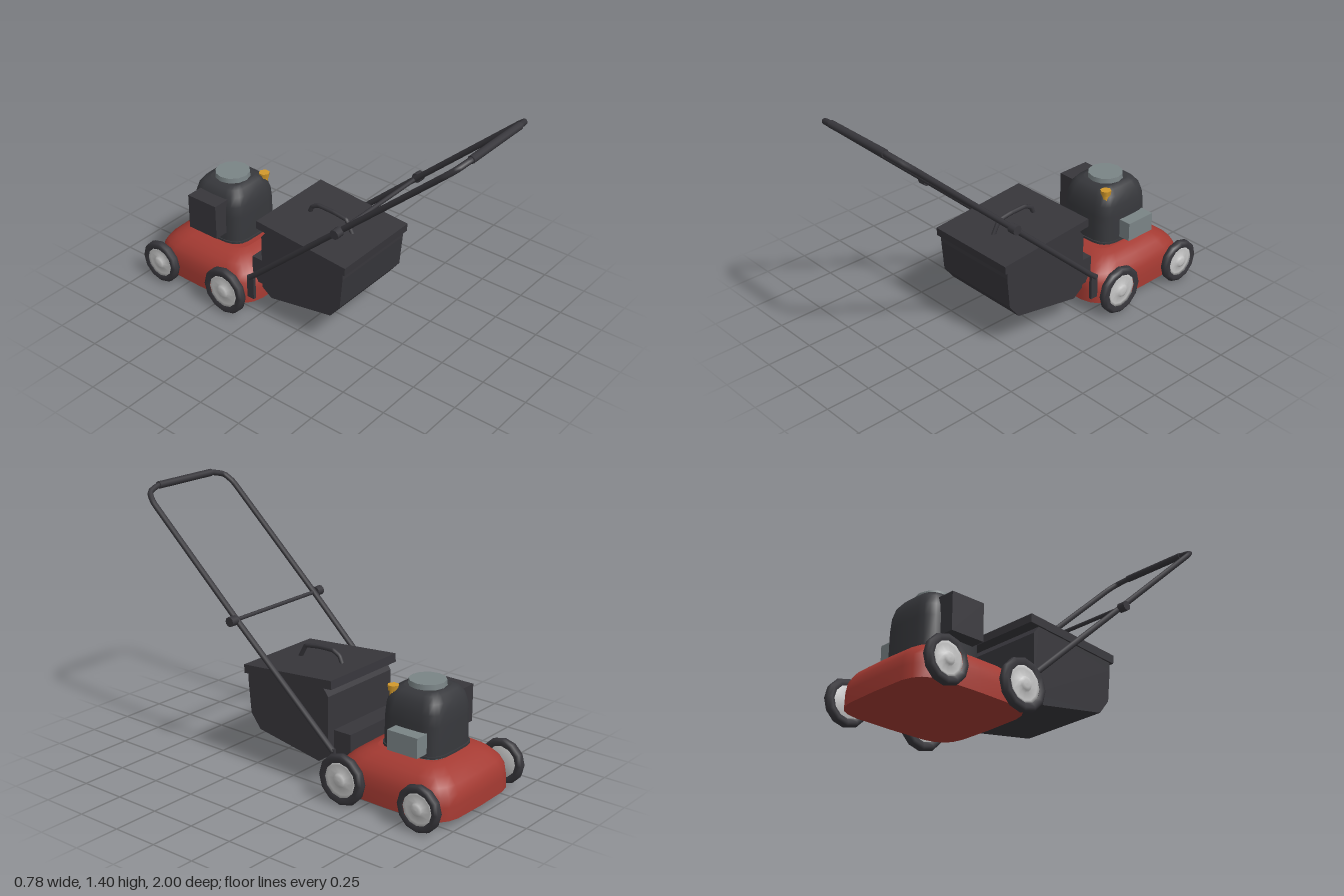
import * as THREE from 'three';

const mat = (name, color) => {
  const m = new THREE.MeshStandardMaterial({ color });
  m.name = name;
  return m;
};

// Loft of rounded-square rings [y, halfX, halfZ], closed at both ends
function loft(rings, power, n = 24) {
  const pos = [], idx = [];
  const addRing = ([y, hx, hz]) => {
    for (let i = 0; i < n; i++) {
      const a = (i / n) * Math.PI * 2;
      const f = (v) => (Math.abs(v) < 1e-6 ? 0 : Math.sign(v) * Math.abs(v) ** (2 / power));
      pos.push(hx * f(Math.cos(a)), y, hz * f(Math.sin(a)));
    }
  };
  rings.forEach(addRing);
  for (let r = 0; r < rings.length - 1; r++) {
    for (let i = 0; i < n; i++) {
      const a = r * n + i, b = r * n + ((i + 1) % n);
      idx.push(a, a + n, b, b, a + n, b + n);
    }
  }
  // end caps use their own vertices so their rims stay sharp
  [[rings[0], false], [rings[rings.length - 1], true]].forEach(([ring, top]) => {
    const s = pos.length / 3;
    addRing(ring);
    pos.push(0, ring[0], 0);
    for (let i = 0; i < n; i++) {
      const a = s + i, b = s + ((i + 1) % n);
      idx.push(s + n, top ? b : a, top ? a : b);
    }
  });
  const g = new THREE.BufferGeometry();
  g.setAttribute('position', new THREE.Float32BufferAttribute(pos, 3));
  g.setIndex(idx);
  g.computeVertexNormals();
  return g;
}

const tube = (points, radius, segments, sides = 8) => new THREE.TubeGeometry(
  new THREE.CatmullRomCurve3(points.map((p) => new THREE.Vector3(...p)), false, 'catmullrom', 0.08),
  segments, radius, sides);

const lathe = (pts, segments) =>
  new THREE.LatheGeometry(pts.map((p) => new THREE.Vector2(...p)), segments);

export function createModel() {
  const root = new THREE.Group();
  root.name = 'lawnMower';
  const red = mat('deckRed', 0xa43a32);
  const black = mat('plasticBlack', 0x37363b);
  const engineBlack = mat('engineBlack', 0x37383c);
  const grey = mat('metalGrey', 0x7a8486);
  const silver = mat('hubSilver', 0xc4c4c4);
  const yellow = mat('capYellow', 0xd2992c);

  const add = (name, geo, material, x = 0, y = 0, z = 0, parent = root) => {
    const m = new THREE.Mesh(geo, material);
    m.name = name;
    m.position.set(x, y, z);
    parent.add(m);
    return m;
  };
  const box = (name, w, h, d, material, x, y, z) =>
    add(name, new THREE.BoxGeometry(w, h, d), material, x, y, z);

  // Cutting deck
  add('deck', loft([
    [0.05, 0.325, 0.352], [0.12, 0.324, 0.35], [0.17, 0.316, 0.343], [0.21, 0.3, 0.318],
    [0.245, 0.268, 0.272], [0.27, 0.225, 0.225], [0.28, 0.18, 0.19],
  ], 5), red, 0, 0, -0.64);

  // Engine
  const ez = -0.655;
  add('enginePlate', loft([[0.265, 0.165, 0.17], [0.292, 0.165, 0.17]], 4), grey, 0, 0, ez);
  add('engineFlange', loft([[0.29, 0.182, 0.184], [0.302, 0.182, 0.184]], 4), engineBlack, 0, 0, ez);
  add('engineCover', loft([
    [0.295, 0.177, 0.177], [0.45, 0.175, 0.175], [0.51, 0.17, 0.17],
    [0.56, 0.155, 0.155], [0.59, 0.13, 0.13], [0.6, 0.1, 0.1],
  ], 4), engineBlack, 0, 0, ez);
  add('starterCap', new THREE.CylinderGeometry(0.095, 0.098, 0.035, 12), grey, 0, 0.61, ez);
  box('muffler', 0.09, 0.105, 0.18, grey, 0.2, 0.368, -0.685);
  box('airFilter', 0.1, 0.2, 0.195, black, -0.2, 0.45, -0.657);
  add('fuelNeck', new THREE.CylinderGeometry(0.02, 0.02, 0.05, 6), yellow, 0.12, 0.56, -0.535);
  add('fuelCap', new THREE.CylinderGeometry(0.031, 0.027, 0.028, 6), yellow, 0.12, 0.588, -0.535);

  // Wheels: a closed tyre ring around a domed hub
  const wheel = (side, z, r) => {
    const g = new THREE.Group();
    g.name = 'wheel';
    g.position.set(side * 0.36, r + 0.006, z);
    g.rotation.z = (-side * Math.PI) / 2;
    const h = r * 0.68;
    add('tyre', lathe([
      [h, -0.018], [r - 0.02, -0.025], [r - 0.005, -0.017], [r, 0],
      [r - 0.005, 0.017], [r - 0.02, 0.025], [h, 0.018],
    ], 12), black, 0, 0, 0, g);
    add('hub', lathe([
      [0, -0.015], [h + 0.002, -0.015], [h + 0.002, 0.014], [h * 0.85, 0.012],
      [h * 0.45, 0.014], [h * 0.36, 0.026], [h * 0.2, 0.03], [0, 0.031],
    ], 12), silver, 0, 0, 0, g);
    add('axle', new THREE.CylinderGeometry(0.015, 0.015, 0.07, 8), black, 0, -0.035, 0, g);
    root.add(g);
  };
  for (const side of [1, -1]) {
    wheel(side, -0.41, 0.137);
    wheel(side, -0.877, 0.124);
  }

  // Discharge chute and grass bag
  box('chute', 0.42, 0.15, 0.11, black, 0, 0.235, -0.287);
  const profile = new THREE.Shape([
    [0.3, 0.52], [0.3, 0.46], [0.283, 0.285], [0.222, 0.207], [-0.175, 0.138],
    [-0.235, 0.182], [-0.235, 0.5], [-0.2, 0.545],
  ].map((p) => new THREE.Vector2(...p)));
  const bag = new THREE.ExtrudeGeometry(profile, { depth: 0.51, bevelEnabled: false });
  bag.translate(0, 0, -0.255);
  bag.rotateY(-Math.PI / 2);
  add('grassBag', bag, black);
  box('bagLid', 0.528, 0.046, 0.582, black, 0, 0.546, 0.03).rotation.x = 0.083;
  add('bagHandle', tube([
    [0, 0.55, 0.165], [0, 0.622, 0.125], [0, 0.635, 0.04], [0, 0.637, -0.055],
    [0, 0.615, -0.1], [0, 0.57, -0.12],
  ], 0.012, 40, 6), black);

  // Push handle: mirrored half path joined into one tube
  const half = [
    [0.288, 0.235, -0.295], [0.306, 0.8, 0.33], [0.306, 1.315, 0.902],
    [0.282, 1.362, 0.955], [0.2, 1.382, 0.975],
  ];
  const mirrored = half.map(([x, y, z]) => [-x, y, z]).reverse();
  add('pushHandle', tube([...half, ...mirrored], 0.0155, 160), black);
  const bar = (name, r, length, x, y, z, sides = 10) => {
    add(name, new THREE.CylinderGeometry(r, r, length, sides), black, x, y, z).rotation.z = Math.PI / 2;
  };
  bar('grip', 0.02, 0.4, 0, 1.382, 0.975);
  bar('crossbar', 0.011, 0.7, 0, 0.798, 0.328, 8);
  for (const side of [1, -1]) {
    bar('knob', 0.026, 0.045, side * 0.338, 0.798, 0.328);
    box('handleBracket', 0.018, 0.135, 0.045, black, side * 0.29, 0.183, -0.283);
  }
  return root;
}
